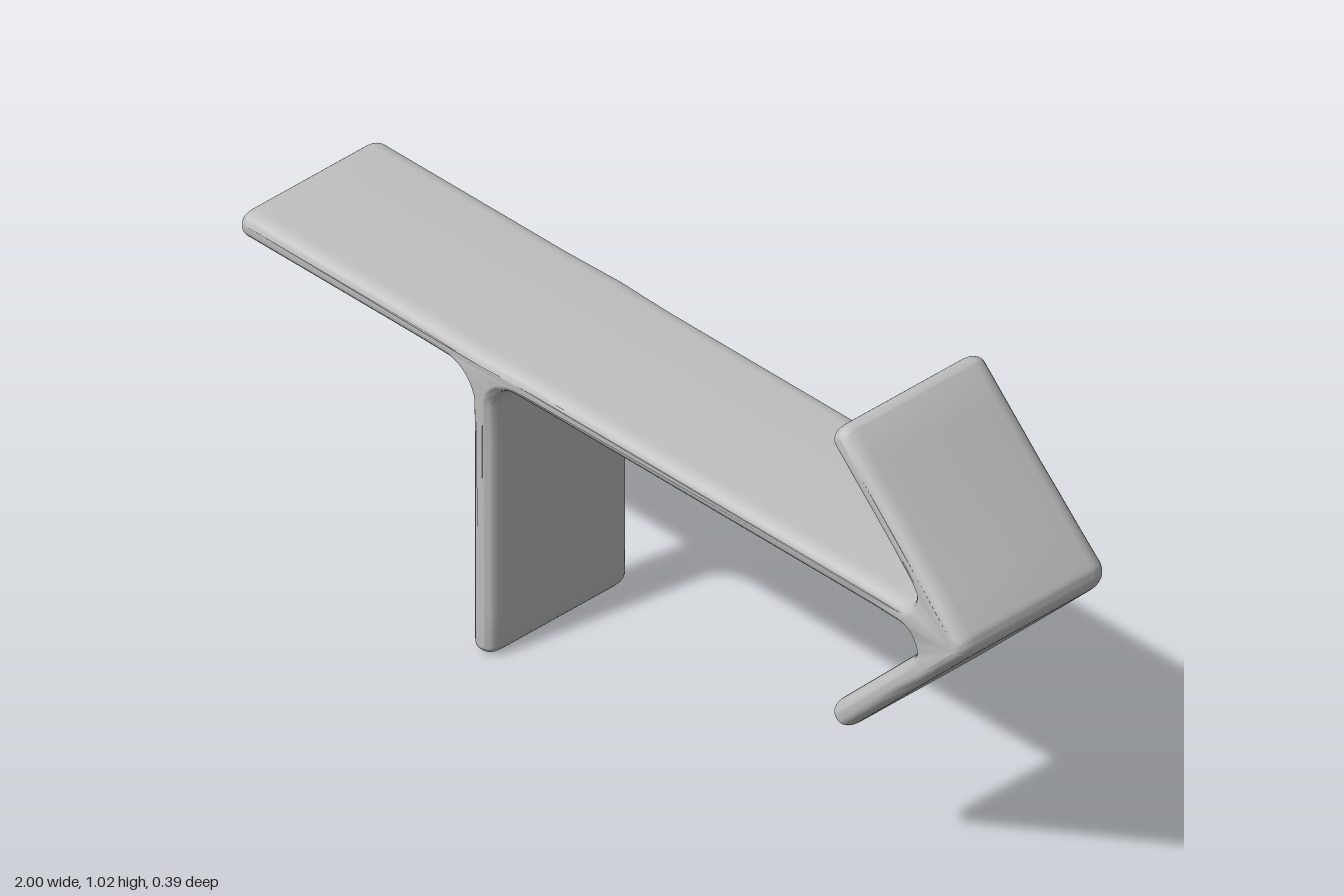
import * as THREE from 'three';
import { toCreasedNormals } from 'three/addons/utils/BufferGeometryUtils.js';

// Closed outline with every corner rounded: corners are [x, y, radius]
function roundedOutline(corners, arcSteps = 8, spacing = 0.07) {
  const pts = [];
  const n = corners.length;
  const at = (i) => new THREE.Vector2(corners[(i + n) % n][0], corners[(i + n) % n][1]);
  for (let i = 0; i < n; i++) {
    const p = at(i), r = corners[i][2];
    const u = at(i - 1).sub(p).normalize();
    const v = at(i + 1).sub(p).normalize();
    const half = Math.acos(u.dot(v)) / 2;
    const centre = p.clone().addScaledVector(u.clone().add(v).normalize(), r / Math.sin(half));
    const start = p.clone().addScaledVector(u, r / Math.tan(half)).sub(centre);
    const turn = (Math.PI - 2 * half) * Math.sign(v.cross(u));
    const arc = [];
    for (let k = 0; k <= arcSteps; k++) {
      arc.push(start.clone().rotateAround(new THREE.Vector2(), (turn * k) / arcSteps).add(centre));
    }
    // even points along the straight run before this corner
    if (pts.length) addRun(pts, pts[pts.length - 1], arc[0], spacing);
    pts.push(...arc);
  }
  addRun(pts, pts[pts.length - 1], pts[0], spacing);
  return pts;
}

function addRun(pts, a, b, spacing) {
  const steps = Math.floor(a.distanceTo(b) / spacing);
  for (let k = 1; k < steps; k++) pts.push(a.clone().lerp(b, k / steps));
}

export function createModel() {
  const grey = new THREE.MeshStandardMaterial({ color: 0xc0c0c0 });
  grey.name = 'light grey';

  const mid = 0.673, end = 0.026;
  const flip = ([x, y, r]) => [x, 2 * mid - y, r];

  // One side of the arrowhead: inner joint, then the two corners of the barb end
  const barb = [[0.907, 0.645, 0.035], [0.618, 0.356, end], [0.658, 0.316, end]];

  const corners = [
    [-1, 0.645, end],
    [-0.36, 0.645, 0.06], [-0.36, 0.002, end], [-0.303, 0.002, end], [-0.303, 0.645, 0.06], // post
    ...barb,
    [1.015, mid, 0.04], // tip
    ...barb.map(flip).reverse(),
    [-1, 0.701, end],
  ];

  // Slab extruded through z with soft edges
  const halfWidth = 0.187, bevel = 0.035;
  const extruded = new THREE.ExtrudeGeometry(new THREE.Shape(roundedOutline(corners)), {
    depth: 2 * (halfWidth - bevel),
    bevelThickness: bevel,
    bevelSize: 0.021,
    bevelOffset: -0.021,
    bevelSegments: 5,
  });
  extruded.translate(0, 0, bevel - halfWidth);

  // Slight swelling in width where the slabs meet
  const swell = [[-0.331, 0.66, 0.03, 0.08], [0.93, mid, 0.055, 0.1]];
  const pos = extruded.attributes.position;
  for (let i = 0; i < pos.count; i++) {
    let s = 1;
    for (const [x, y, amount, size] of swell) {
      const d = Math.hypot(pos.getX(i) - x, pos.getY(i) - y) / size;
      s += amount * Math.exp(-d * d);
    }
    if (pos.getX(i) > 0.62 && Math.abs(pos.getY(i) - mid) > 0.08) s += 0.02;
    pos.setZ(i, pos.getZ(i) * s);
  }

  const mesh = new THREE.Mesh(toCreasedNormals(extruded, 0.9), grey);
  mesh.name = 'arrowWithPost';

  const group = new THREE.Group();
  group.name = 'arrowSign';
  group.add(mesh);
  return group;
}
